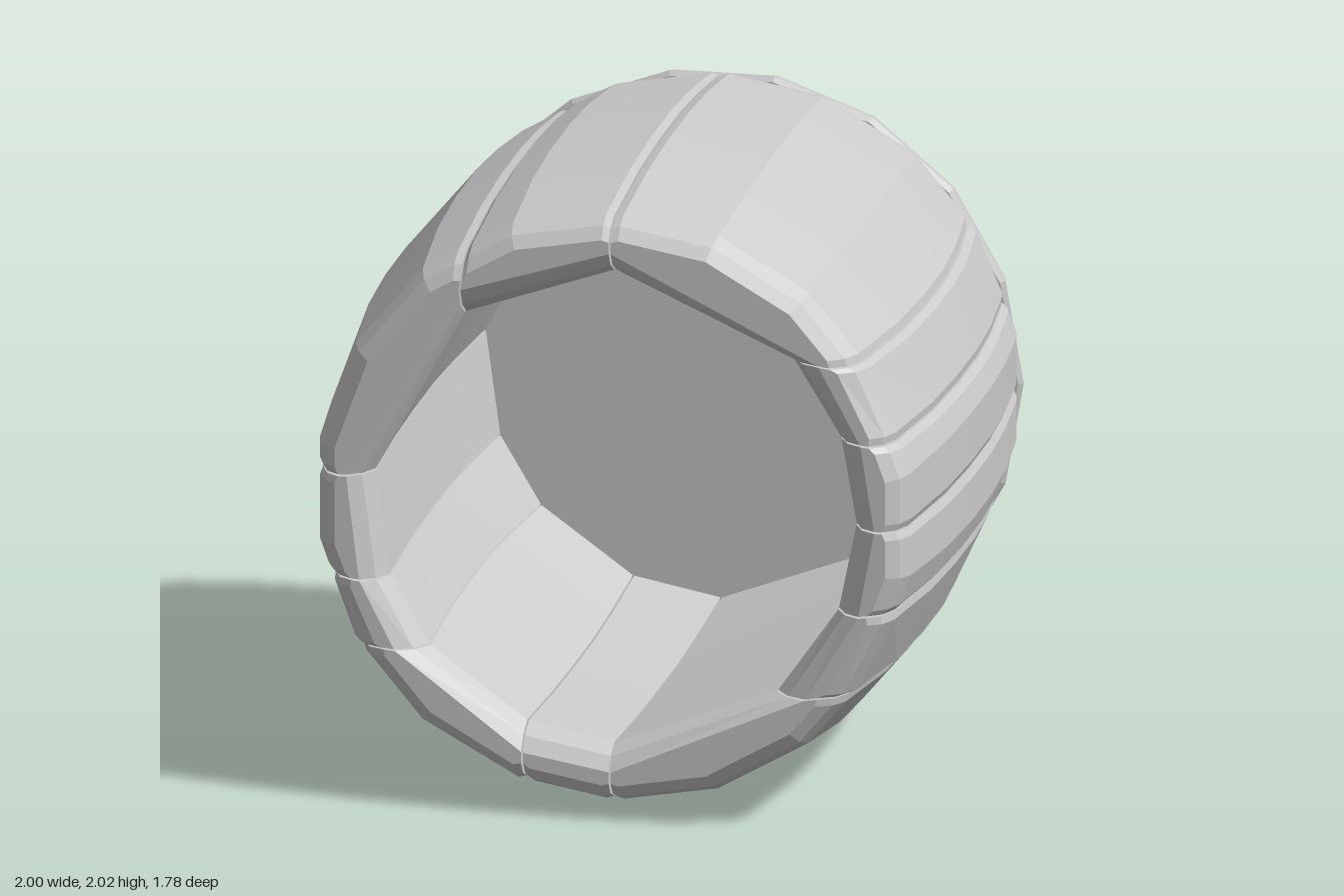
import * as THREE from 'three';

const RAD = Math.PI / 180;
const SIDES = 18;
const STEP = 2 * Math.PI / SIDES;

// Seams between staves, counter-clockwise: [side faced, fixed offset from the axis]
const SEAMS = [
  [0, 0.52], [90, 0], [90, -0.48], [180, 0.07], [180, -0.27], [180, -0.49],
  [270, -0.28], [270, 0], [360, -0.57], [360, -0.29], [360, -0.01], [360, 0.27], [360, 0.52],
];

// Stave stations from back to front: [z, outer radius, inner radius]
const STATIONS = [
  [-0.75, 0.945, 0.755], [-0.7, 0.955, 0.76], [-0.4, 0.985, 0.78], [-0.15, 0.998, 0.79],
  [0.15, 0.998, 0.79], [0.45, 0.985, 0.785], [0.8, 0.945, 0.77], [0.86, 0.92, 0.8], [0.89, 0.88, 0.845],
];

// Seams stay parallel to the sides, so their angle changes with the radius
function seamAngle([side, v], r) {
  const flip = side === 90 || side === 180 ? -1 : 1;
  return side * RAD + flip * Math.asin(v / r);
}

// Radius of the many-sided outline at an angle
function outlineRadius(r, angle) {
  const off = ((angle + STEP / 2) % STEP + STEP) % STEP - STEP / 2;
  return r / Math.cos(off);
}

const polar = (r, a) => new THREE.Vector2(r * Math.cos(a), r * Math.sin(a));

// Closed cross-section of one stave: faceted outside, straight inside
function staveSection(from, to, rOut, rIn) {
  const gap = 0.004;
  const notch = 0.025;
  const a0 = seamAngle(from, rOut) + gap;
  const a1 = seamAngle(to, rOut) - gap;
  const outer = (a, k = 1) => polar(outlineRadius(rOut, a) * k, a);
  const points = [outer(a0, 0.988), outer(a0 + notch)];
  const first = seamAngle(from, 1) + 5 * RAD;
  const last = seamAngle(to, 1) - 5 * RAD;
  for (let a = STEP / 2; a < 3 * Math.PI; a += STEP) {
    if (a > first && a < last) points.push(outer(a));
  }
  points.push(outer(a1 - notch), outer(a1, 0.988));
  points.push(polar(rIn, seamAngle(to, rIn) - gap), polar(rIn, seamAngle(from, rIn) + gap));
  return points;
}

// Join the sections along z and close both ends
function staveGeometry(from, to) {
  const sections = STATIONS.map(([, rOut, rIn]) => staveSection(from, to, rOut, rIn));
  const n = sections[0].length;
  const positions = [];
  const index = [];
  sections.forEach((s, k) => s.forEach((p) => positions.push(p.x, p.y, STATIONS[k][0])));
  for (let k = 0; k < sections.length - 1; k++) {
    for (let j = 0; j < n; j++) {
      const a = k * n + j;
      const b = k * n + (j + 1) % n;
      index.push(a, b, b + n, a, b + n, a + n);
    }
  }
  const top = (sections.length - 1) * n;
  for (const [a, b, c] of THREE.ShapeUtils.triangulateShape(sections[sections.length - 1], [])) {
    index.push(top + a, top + b, top + c);
  }
  for (const [a, b, c] of THREE.ShapeUtils.triangulateShape(sections[0], [])) index.push(a, c, b);
  const geometry = new THREE.BufferGeometry();
  geometry.setAttribute('position', new THREE.Float32BufferAttribute(positions, 3));
  geometry.setIndex(index);
  geometry.computeVertexNormals();
  return geometry;
}

export function createModel() {
  const model = new THREE.Group();
  model.name = 'openBarrel';
  const material = new THREE.MeshStandardMaterial({ color: 0xcccccc, flatShading: true });

  // Ring of curved staves
  const staves = new THREE.Group();
  staves.name = 'staves';
  for (let i = 0; i < SEAMS.length - 1; i++) {
    const stave = new THREE.Mesh(staveGeometry(SEAMS[i], SEAMS[i + 1]), material);
    stave.name = `stave${i + 1}`;
    staves.add(stave);
  }
  model.add(staves);

  // Bevelled plate closing the back
  const k = 1 / Math.cos(STEP / 2);
  const profile = [[0, 0.752], [0.935, 0.752], [0.95, 0.765], [0.93, 0.84], [0.88, 0.89], [0, 0.89]]
    .map(([r, y]) => new THREE.Vector2(r * k, y));
  const plate = new THREE.LatheGeometry(profile, SIDES, STEP / 2);
  plate.rotateX(-Math.PI / 2);
  const back = new THREE.Mesh(plate, material);
  back.name = 'backPlate';
  model.add(back);

  model.position.y = 1;
  const root = new THREE.Group();
  root.name = 'barrel';
  root.add(model);
  return root;
}
